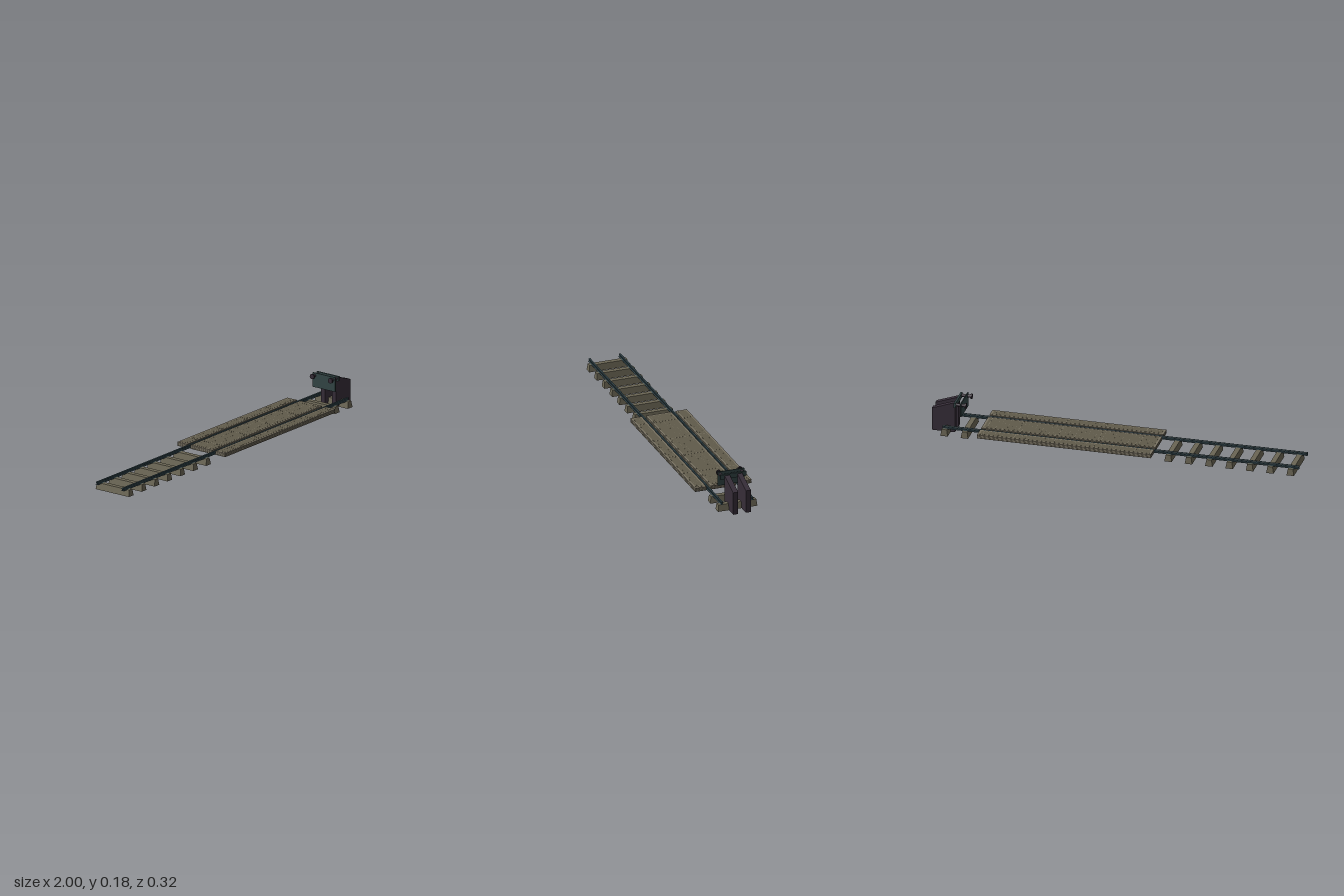
import * as THREE from 'three';
import { mergeGeometries } from 'three/addons/utils/BufferGeometryUtils.js';

const mat = (name, color) => Object.assign(new THREE.MeshStandardMaterial({ color }), { name });
const concrete = mat('sleeper concrete', 0x6b6654);
const frameMat = mat('panel frame', 0x797262);
const slabMat = mat('panel slab', 0x605b4a);
const steel = mat('rail steel', 0x30444a);
const boardMat = mat('board teal', 0x334546);
const iron = mat('dark iron', 0x362d38);

function add(parent, name, geometry, material) {
  const mesh = new THREE.Mesh(geometry, material);
  mesh.name = name;
  parent.add(mesh);
  return mesh;
}

// Box given by its limits on each axis
function box(x0, x1, y0, y1, z0, z1) {
  return new THREE.BoxGeometry(x1 - x0, y1 - y0, z1 - z0)
    .translate((x0 + x1) / 2, (y0 + y1) / 2, (z0 + z1) / 2);
}

function outline(points) {
  return new THREE.Shape(points.map(([x, y]) => new THREE.Vector2(x, y)));
}

// Sleeper: a box tapered towards its top
function sleeperGeometry() {
  const g = box(-0.02, 0.02, 0, 0.036, -0.11, 0.11);
  const p = g.attributes.position;
  for (let i = 0; i < p.count; i++) {
    if (p.getY(i) > 0.01) p.setXYZ(i, p.getX(i) * 0.68, p.getY(i), p.getZ(i) * 0.965);
  }
  g.computeVertexNormals();
  return g;
}

// Rail: foot, web and head profile swept along x
function railGeometry(length) {
  const half = [[0.008, 0.034], [0.008, 0.036], [0.002, 0.038], [0.002, 0.043],
    [0.0055, 0.045], [0.0055, 0.049], [0.004, 0.0505]];
  const left = half.map(([x, y]) => [-x, y]).reverse();
  return new THREE.ExtrudeGeometry(outline([...half, ...left]), { depth: length, bevelEnabled: false })
    .rotateY(Math.PI / 2);
}

// Crossing panel: grooved frame, inset slab faces, joints and tread studs
function crossingPanel(name, z0, z1, rim, studRows) {
  const group = new THREE.Group();
  group.name = name;
  const x0 = -0.215, x1 = 0.727;
  add(group, 'panelFrame', mergeGeometries([
    box(x0, x1, 0.032, 0.038, z0, z1),
    box(x0 + 0.002, x1 - 0.002, 0.038, 0.040, z0 + 0.002, z1 - 0.002),
    box(x0, x1, 0.040, 0.046, z0, z1),
    box(x0 + 0.002, x1 - 0.002, 0.046, 0.048, z0 + 0.002, z1 - 0.002),
    box(x0, x1, 0.048, 0.053, z0, z1),
  ]), frameMat);
  add(group, 'panelSlabs', mergeGeometries([
    box(x0 + 0.012, x1 - 0.012, 0.0525, 0.0536, z0 + rim, z1 - rim),
    box(x0 + 0.012, x1 - 0.012, 0.0312, 0.0325, z0 + rim, z1 - rim),
  ]), slabMat);
  const joints = [-0.12, 0.1, 0.315, 0.53, 0.7].map(
    x => box(x - 0.0015, x + 0.0015, 0.0535, 0.054, z0 + rim, z1 - rim));
  add(group, 'panelJoints', mergeGeometries(joints), frameMat);
  const studs = [];
  for (let r = 0; r < studRows; r++) {
    const z = z0 + rim + (z1 - z0 - 2 * rim) * (r + 0.5) / studRows;
    for (let i = 0; i < 44; i++) {
      studs.push(new THREE.ConeGeometry(0.002, 0.0015, 4, 1, true)
        .translate(x0 + 0.03 + i * 0.0205, 0.0543, z));
    }
  }
  add(group, 'treadStuds', mergeGeometries(studs), frameMat);
  return group;
}

// End stop closing off the track
function endStop() {
  const group = new THREE.Group();
  group.name = 'endStop';
  const cheek = outline([[0.875, 0], [1, 0], [1, 0.126], [0.875, 0.171]]);
  const r = 0.004, w = 0.075, y0 = 0.102, y1 = 0.181;

  // Rounded board facing along the track
  const face = new THREE.Shape();
  face.moveTo(-w + r, y0).lineTo(w - r, y0).quadraticCurveTo(w, y0, w, y0 + r);
  face.lineTo(w, y1 - r).quadraticCurveTo(w, y1, w - r, y1);
  face.lineTo(-w + r, y1).quadraticCurveTo(-w, y1, -w, y1 - r);
  face.lineTo(-w, y0 + r).quadraticCurveTo(-w, y0, -w + r, y0);
  add(group, 'board', new THREE.ExtrudeGeometry(face, { depth: 0.005, bevelEnabled: false })
    .rotateY(Math.PI / 2).translate(0.835, 0, 0), boardMat);
  add(group, 'crossBeam', box(0.866, 0.876, 0.152, 0.178, -0.072, 0.072), boardMat);

  for (const s of [-1, 1]) {
    add(group, 'cheekPlate', new THREE.ExtrudeGeometry(cheek, { depth: 0.028, bevelEnabled: false })
      .translate(0, 0, s * 0.0355 - 0.014), iron);
    add(group, 'bumperShank', new THREE.CylinderGeometry(0.008, 0.008, 0.054, 12)
      .rotateZ(Math.PI / 2).translate(0.843, 0.166, s * 0.06), iron);
    add(group, 'bumperHead', new THREE.CylinderGeometry(0.014, 0.014, 0.008, 16)
      .rotateZ(Math.PI / 2).translate(0.814, 0.166, s * 0.06), iron);
  }
  return group;
}

export function createModel() {
  const model = new THREE.Group();
  model.name = 'levelCrossingTrack';

  // Sleepers, left out beneath the crossing panels
  const sleeper = sleeperGeometry();
  for (let i = 0; i < 18; i++) {
    const x = -0.957 + i * 0.1103;
    if (x > -0.25 && x < 0.75) continue;
    add(model, 'sleeper', sleeper, concrete).position.x = x;
  }

  // Rails
  const rail = railGeometry(1.932);
  for (const s of [-1, 1]) add(model, 'rail', rail, steel).position.set(-1, 0, s * 0.085);

  // Crossing deck
  model.add(crossingPanel('centrePanel', -0.071, 0.071, 0.009, 6));
  model.add(crossingPanel('leftPanel', 0.095, 0.158, 0.01, 2));
  model.add(crossingPanel('rightPanel', -0.158, -0.095, 0.01, 2));

  model.add(endStop());
  return model;
}
